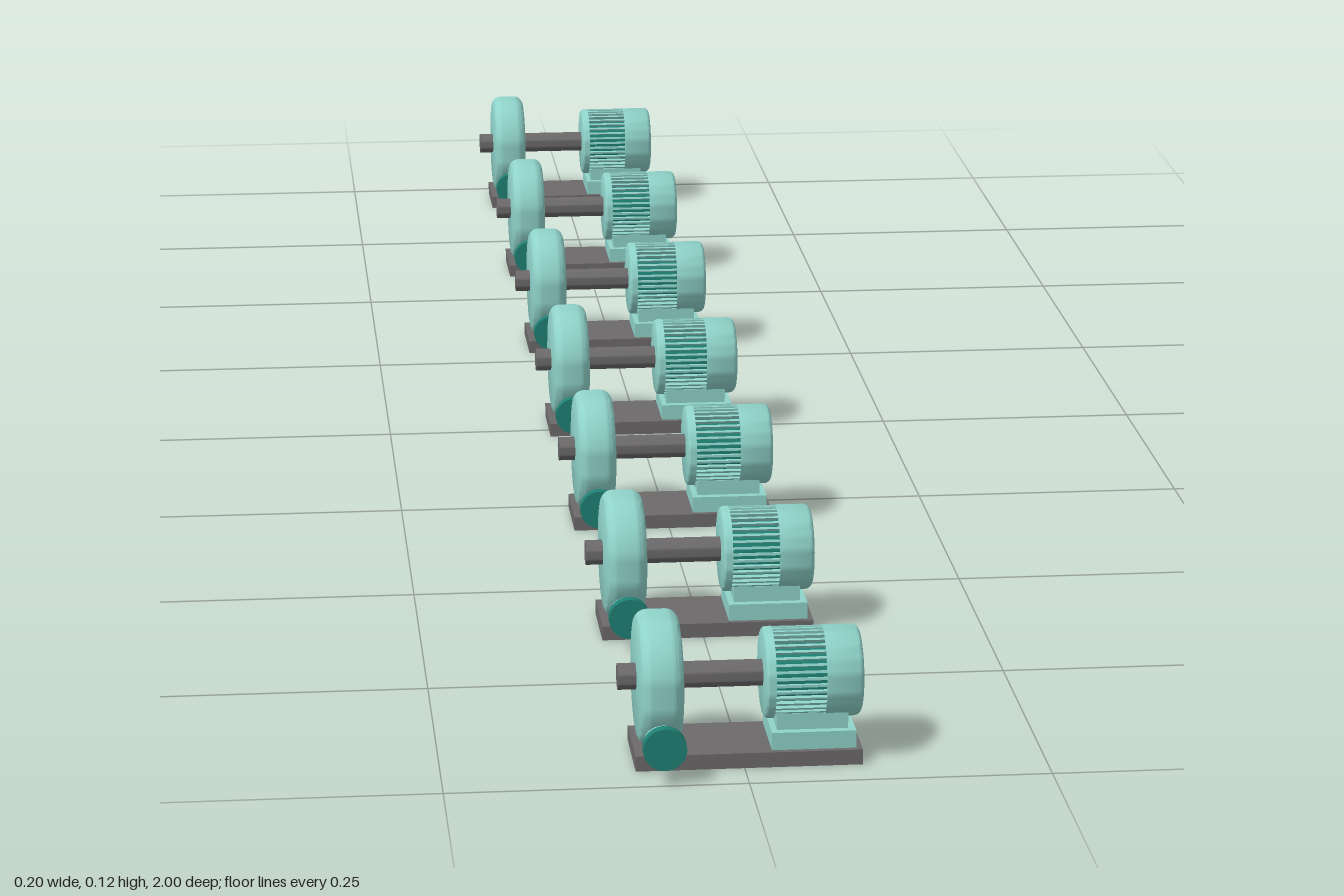
import * as THREE from 'three';
import { toCreasedNormals } from 'three/addons/utils/BufferGeometryUtils.js';

const paint = new THREE.MeshStandardMaterial({ color: 0x8fd3ca });
paint.name = 'pale teal paint';
const dark = new THREE.MeshStandardMaterial({ color: 0x1f8175 });
dark.name = 'dark teal';
const steel = new THREE.MeshStandardMaterial({ color: 0x6c6a6a });
steel.name = 'grey steel';

const AXIS_Y = 0.07;

function add(group, name, geometry, material, x = 0, y = 0, z = 0) {
  const mesh = new THREE.Mesh(geometry, material);
  mesh.name = name;
  mesh.position.set(x, y, z);
  group.add(mesh);
  return mesh;
}

// Solid of revolution about the x axis, from x0 to x1, with rounded rims
function drum(x0, x1, r, round0, round1) {
  const pts = [new THREE.Vector2(0, x0)];
  const arc = (cx, rad, from) => {
    for (let i = 0; i <= 5; i++) {
      const a = from + (i / 5) * Math.PI / 2;
      pts.push(new THREE.Vector2(r - rad + rad * Math.cos(a), cx + rad * Math.sin(a)));
    }
  };
  if (round0) arc(x0 + round0, round0, -Math.PI / 2);
  else pts.push(new THREE.Vector2(r, x0));
  if (round1) arc(x1 - round1, round1, 0);
  else pts.push(new THREE.Vector2(r, x1));
  pts.push(new THREE.Vector2(0, x1));
  return toCreasedNormals(new THREE.LatheGeometry(pts, 40).rotateZ(-Math.PI / 2), 0.6);
}

// Block given by its x and y limits and its depth
function block(group, name, x0, x1, y0, y1, depth, material) {
  add(group, name, new THREE.BoxGeometry(x1 - x0, y1 - y0, depth), material, (x0 + x1) / 2, (y0 + y1) / 2);
}

function createPump() {
  const pump = new THREE.Group();
  pump.name = 'pump';

  // Base plate and stepped motor foot
  block(pump, 'basePlate', -0.09, 0.098, 0, 0.013, 0.074, steel);
  block(pump, 'footLower', 0.023, 0.093, 0.013, 0.028, 0.064, paint);
  block(pump, 'footUpper', 0.028, 0.087, 0.028, 0.042, 0.05, paint);

  // Shaft and rounded impeller housing
  add(pump, 'shaft', drum(-0.102, 0.03, 0.011, 0, 0), steel, 0, AXIS_Y);
  add(pump, 'impellerHousing', drum(-0.087, -0.051, 0.056, 0.01, 0.01), paint, 0, AXIS_Y - 0.001);

  // Motor: two painted ends with a finned core between them
  add(pump, 'motorFrontRing', drum(0.018, 0.026, 0.038, 0.004, 0), paint, 0, AXIS_Y);
  add(pump, 'motorCore', drum(0.022, 0.072, 0.0345, 0, 0), dark, 0, AXIS_Y);
  add(pump, 'motorEndCap', drum(0.068, 0.099, 0.038, 0, 0.006), paint, 0, AXIS_Y);
  const fins = new THREE.Group();
  fins.name = 'coolingFins';
  fins.position.set(0.047, AXIS_Y, 0);
  const finShape = new THREE.BoxGeometry(0.044, 0.005, 0.0022).translate(0, 0.0352, 0);
  const FIN_COUNT = 40;
  for (let i = 0; i < FIN_COUNT; i++) {
    add(fins, 'fin', finShape, paint).rotation.x = (i / FIN_COUNT) * Math.PI * 2;
  }
  pump.add(fins);

  // Outlet pipe and flange, pointing forward
  const neck = new THREE.CylinderGeometry(0.0135, 0.0135, 0.056, 28).rotateX(Math.PI / 2);
  add(pump, 'outletPipe', neck, paint, -0.069, 0.031, 0.038);
  const flange = new THREE.CylinderGeometry(0.018, 0.018, 0.009, 32).rotateX(Math.PI / 2);
  add(pump, 'outletFlange', flange, dark, -0.069, 0.031, 0.0675);
  return pump;
}

export function createModel() {
  const model = new THREE.Group();
  model.name = 'pumpRow';
  // Seven identical pumps in a line
  for (const z of [-0.944, -0.631, -0.319, -0.015, 0.29, 0.603, 0.928]) {
    const pump = createPump();
    pump.position.z = z;
    model.add(pump);
  }
  return model;
}
